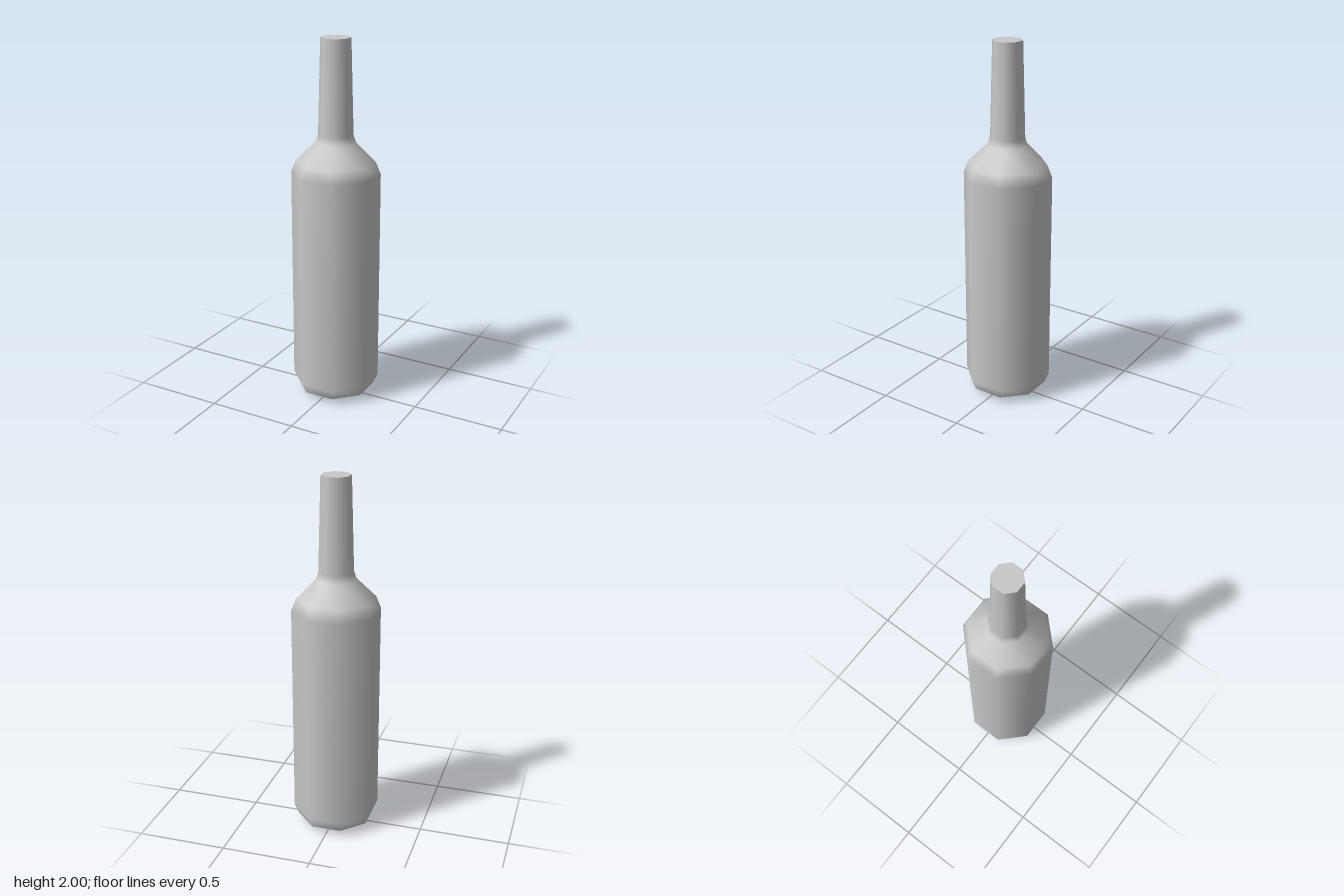
import * as THREE from 'three';

const SIDES = 8;
const TURN = Math.PI / SIDES; // flats face the axes
const CORNER = 1 / Math.cos(TURN); // flat distance -> corner radius

export function createModel() {
  const bottle = new THREE.Group();
  bottle.name = 'bottle';
  const grey = new THREE.MeshStandardMaterial({ color: 0xc8c8c8 });
  grey.name = 'bottleGrey';

  const add = (name, geometry, y = 0) => {
    const mesh = new THREE.Mesh(geometry, grey);
    mesh.name = name;
    mesh.position.y = y;
    bottle.add(mesh);
  };

  // Smooth octagonal shell: heel, straight wall, shoulder and tapering neck
  const profile = [
    [0.198, 0.033], [0.222, 0.09], [0.222, 1.28], [0.198, 1.345],
    [0.1, 1.45], [0.087, 1.49], [0.074, 2],
  ].map(([flat, y]) => new THREE.Vector2(flat * CORNER, y));
  add('shell', new THREE.LatheGeometry(profile, SIDES, TURN));

  // Flat closures at the mouth and base
  const cap = (flat, up) => new THREE.CircleGeometry(flat * CORNER, SIDES, TURN)
    .rotateX(up ? -Math.PI / 2 : Math.PI / 2);
  add('mouthCap', cap(0.074, true), 2);
  add('baseCap', cap(0.198, false), 0.033);

  // Shallow stepped foot under the base
  add('footPlate', new THREE.CylinderGeometry(0.162 * CORNER, 0.162 * CORNER, 0.022, SIDES, 1, false, TURN), 0.023);
  add('footButton', new THREE.CylinderGeometry(0.054, 0.054, 0.014, 16), 0.007);

  return bottle;
}
